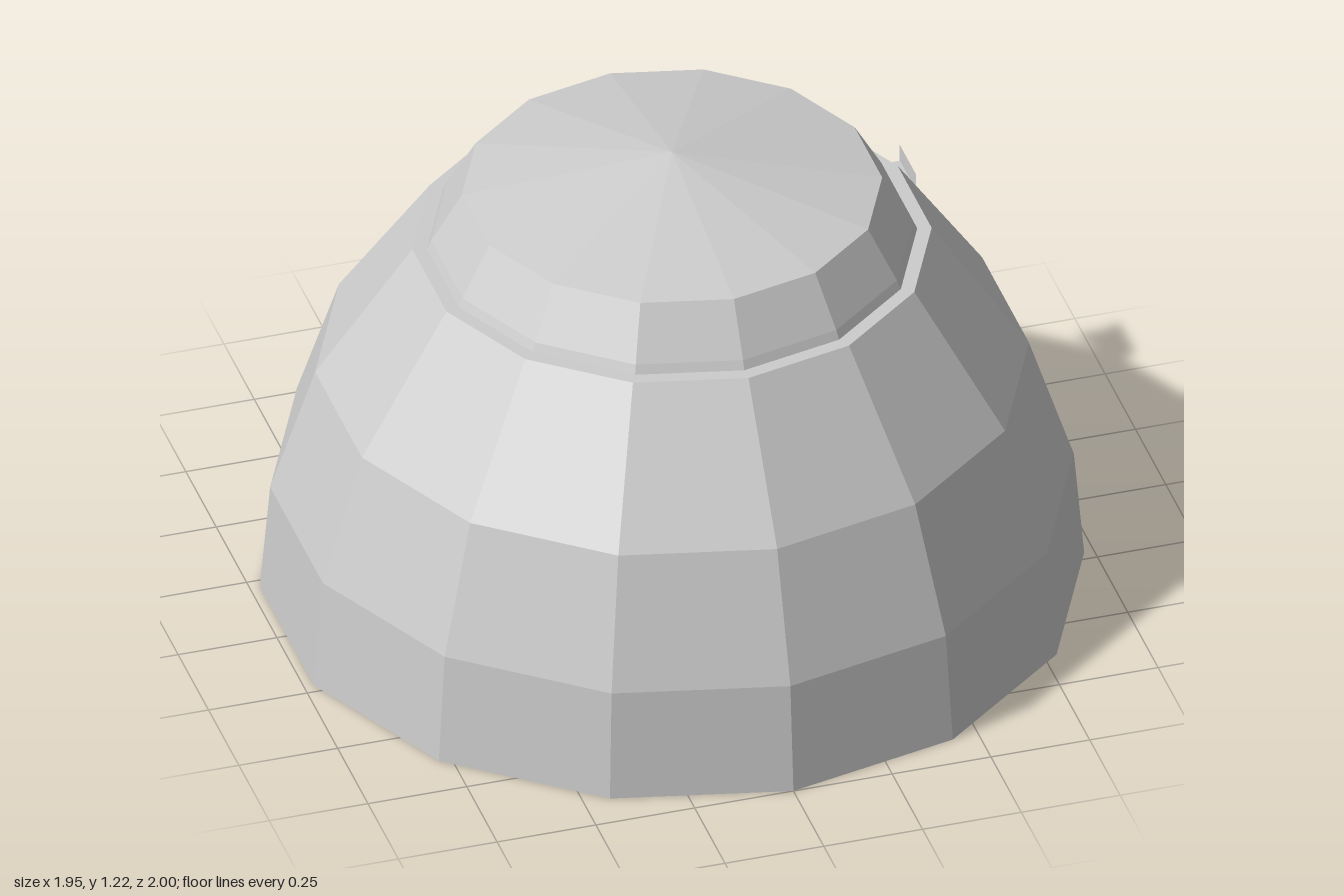
import * as THREE from 'three';

const SIDES = 14;

export function createModel() {
  const model = new THREE.Group();
  const grey = new THREE.MeshStandardMaterial({ color: 0xcccccc, side: THREE.DoubleSide, flatShading: true });
  grey.name = 'plain grey';

  const add = (name, geometry) => {
    const mesh = new THREE.Mesh(geometry, grey);
    mesh.name = name;
    model.add(mesh);
  };

  // Faceted shell turned from [radius, height] pairs, bottom to top
  const shell = (profile) =>
    new THREE.LatheGeometry(profile.map(([r, y]) => new THREE.Vector2(r, y)), SIDES);

  // Flat sheet fanned out from its first corner
  const sheet = (corners) => {
    const g = new THREE.BufferGeometry().setFromPoints(corners.map((c) => new THREE.Vector3(...c)));
    const index = [];
    for (let i = 1; i < corners.length - 1; i++) index.push(0, i, i + 1);
    g.setIndex(index);
    g.computeVertexNormals();
    return g;
  };

  // Open-bottomed dome with a narrow flat ledge at the top
  add('dome', shell([[1, 0], [0.975, 0.29], [0.866, 0.62], [0.63, 0.967], [0.595, 0.967]]));

  // Cap with a skirt that hangs down inside the dome
  add('cap', shell([[0.605, 0.56], [0.595, 0.967], [0.585, 0.99], [0.51, 1.12], [0, 1.22]]));

  // Small bracket on the back left of the dome
  add('bracketPlate', sheet([[0.74, 0.66, -0.535], [0.74, 0.75, -0.535], [0.74, 0.75, -0.4], [0.74, 0.65, -0.4], [0.74, 0.67, -0.44]]));
  add('bracketShelf', sheet([[0.655, 0.705, -0.53], [0.715, 0.705, -0.43], [0.74, 0.705, -0.44], [0.74, 0.705, -0.53]]));
  add('bracketTip', sheet([[0.71, 0.705, -0.43], [0.725, 0.65, -0.41], [0.74, 0.705, -0.375]]));

  return model;
}
